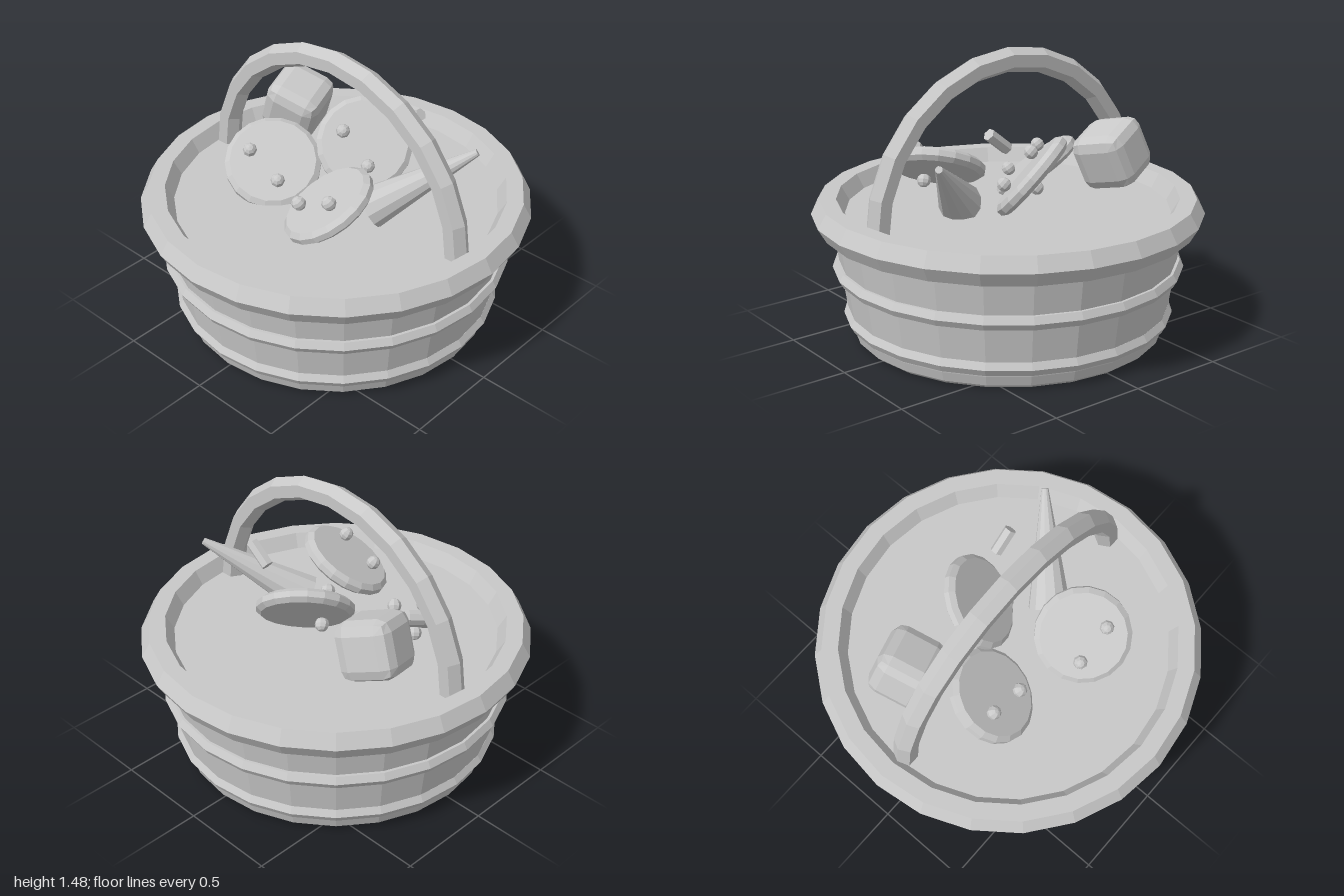
import * as THREE from 'three';
import { RoundedBoxGeometry } from 'three/addons/geometries/RoundedBoxGeometry.js';

const SIDES = 24;

export function createModel() {
  const clay = new THREE.MeshStandardMaterial({ color: 0xc8c8c8, flatShading: true });
  clay.name = 'clay grey';
  const model = new THREE.Group();
  model.name = 'basket';

  const add = (parent, name, geometry, position = [0, 0, 0]) => {
    const mesh = new THREE.Mesh(geometry, clay);
    mesh.name = name;
    mesh.position.set(...position);
    parent.add(mesh);
    return mesh;
  };
  const lathe = (points, sides) =>
    new THREE.LatheGeometry(points.map(([r, y]) => new THREE.Vector2(r, y)), sides);

  // Tapered tub with a chamfered foot
  add(model, 'tub', lathe([[0, 0], [0.78, 0], [0.805, 0.02], [0.82, 0.07], [0.9, 0.62]], SIDES));

  // Hexagonal hoops: two bands and the rim
  const hoops = [
    ['lowerBand', 0.812, 0.04, 0.115],
    ['middleBand', 0.862, 0.04, 0.365],
    ['rim', 0.915, 0.085, 0.65],
  ];
  for (const [name, radius, tube, y] of hoops) {
    const ring = new THREE.TorusGeometry(radius, tube, 6, SIDES).rotateX(-Math.PI / 2);
    add(model, name, ring, [0, y, 0]);
  }

  // Flat filling inside the rim
  add(model, 'filling', new THREE.CircleGeometry(0.87, SIDES).rotateX(-Math.PI / 2), [0, 0.65, 0]);

  // Arched handle
  add(model, 'handle', new THREE.TorusGeometry(0.792, 0.063, 6, 12, Math.PI), [0, 0.62, 0]);

  // Bevelled discs, each with two beads on top and one underneath
  const discProfile = [[0, -0.036], [0.222, -0.036], [0.248, -0.015], [0.248, 0.015], [0.222, 0.036], [0, 0.036]];
  const beads = [[-0.11, 0.075, 0.06], [0.11, 0.075, 0.06], [0, -0.065, 0.1]];
  const discs = [
    ['leftFrontDisc', [-0.303, 0.775, 0.15], 25, -27],
    ['rightFrontDisc', [0.225, 0.835, 0.3], 21, 25],
    ['backDisc', [0.01, 0.86, -0.205], 34, -39],
  ];
  for (const [name, position, tilt, roll] of discs) {
    const disc = new THREE.Group();
    disc.name = name;
    disc.position.set(...position);
    disc.rotation.set(THREE.MathUtils.degToRad(tilt), 0, THREE.MathUtils.degToRad(roll), 'ZYX');
    add(disc, 'discBody', lathe(discProfile, 18));
    for (const p of beads) add(disc, 'bead', new THREE.SphereGeometry(0.037, 8, 6), p);
    model.add(disc);
  }

  // Chamfered block leaning on the back
  const block = add(model, 'block', new RoundedBoxGeometry(0.3, 0.3, 0.3, 1, 0.065), [-0.495, 0.9, -0.235]);
  block.rotation.set(0.12, 0.33, -0.35, 'ZYX');

  // Tapered spike pointing up and outwards
  const base = new THREE.Vector3(0.27, 0.71, 0.045);
  const tip = new THREE.Vector3(0.645, 1.03, -0.315);
  const axis = tip.clone().sub(base);
  const spike = add(model, 'spike', new THREE.CylinderGeometry(0.018, 0.11, axis.length(), 12),
    base.clone().add(tip).multiplyScalar(0.5).toArray());
  spike.quaternion.setFromUnitVectors(new THREE.Vector3(0, 1, 0), axis.normalize());

  // Small hexagonal stick
  const stick = add(model, 'stick', new THREE.CylinderGeometry(0.032, 0.032, 0.14, 6), [0.267, 1.092, -0.267]);
  stick.rotation.z = -0.9;

  return model;
}
